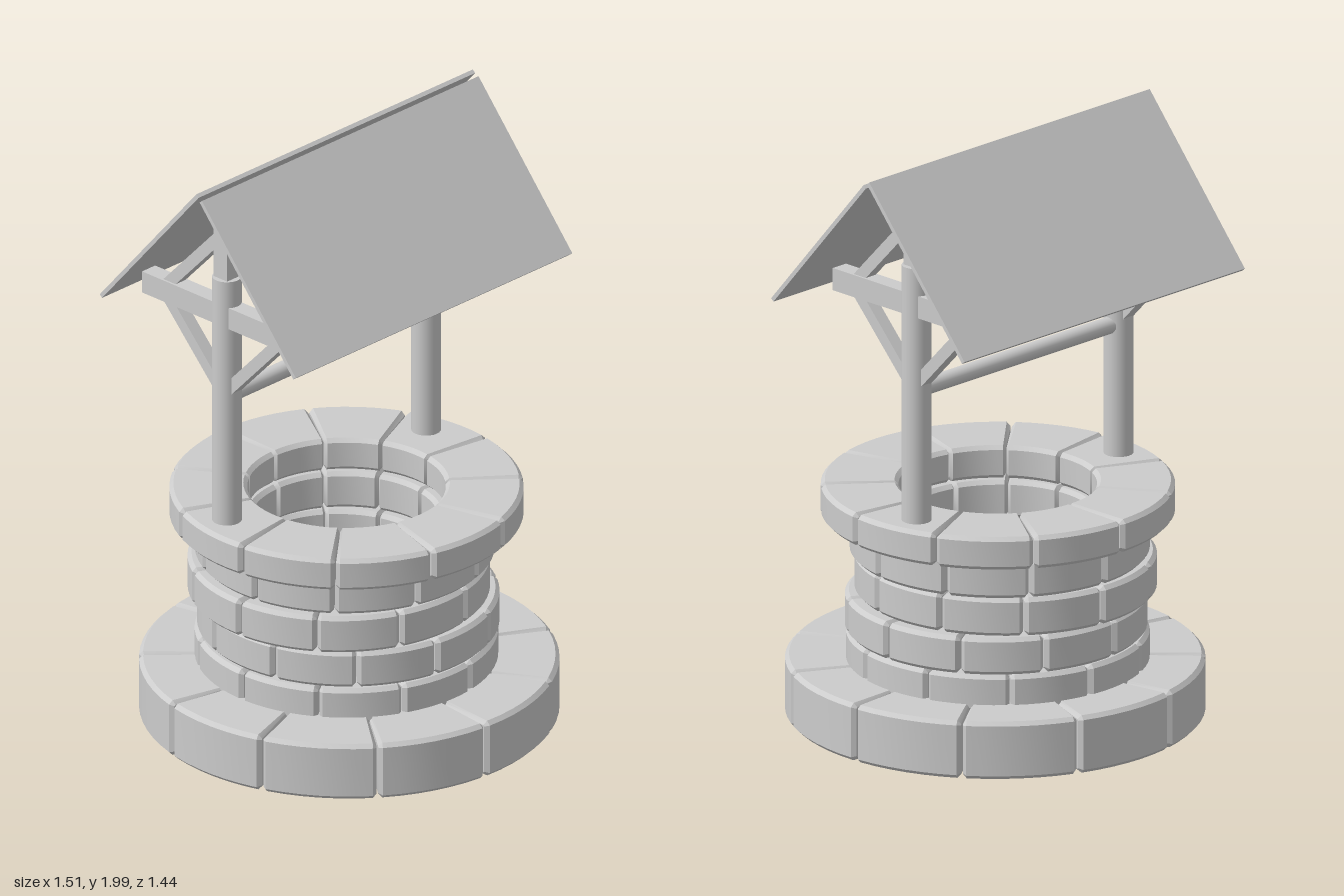
import * as THREE from 'three';
import { toCreasedNormals } from 'three/addons/utils/BufferGeometryUtils.js';

const grey = new THREE.MeshStandardMaterial({ color: 0xcccccc });
grey.name = 'plain grey';

function addMesh(parent, name, geometry, x = 0, y = 0, z = 0) {
  const mesh = new THREE.Mesh(geometry, grey);
  mesh.name = name;
  mesh.position.set(x, y, z);
  parent.add(mesh);
  return mesh;
}

// Chamfered rectangle in (radius, height), counter-clockwise
function section(r0, r1, y0, y1, inset, cut) {
  const a = r0 + inset, b = r1 - inset, c = y0 + inset, d = y1 - inset;
  return [[a + cut, c], [b - cut, c], [b, c + cut], [b, d - cut],
    [b - cut, d], [a + cut, d], [a, d - cut], [a, c + cut]];
}

// Curved stone block with bevelled edges, swept from angle a0 to a1
function stoneGeometry(r0, r1, y0, y1, a0, a1) {
  const bevel = 0.013, turn = bevel / r1, steps = 6;
  const full = section(r0, r1, y0, y1, 0, bevel);
  const end = section(r0, r1, y0, y1, bevel, bevel * 0.3);
  const loops = [[end, a0]];
  for (let i = 0; i <= steps; i++) {
    loops.push([full, a0 + turn + (a1 - a0 - 2 * turn) * i / steps]);
  }
  loops.push([end, a1]);

  const positions = [], index = [], n = full.length;
  for (const [points, angle] of loops) {
    for (const [r, y] of points) positions.push(r * Math.cos(angle), y, r * Math.sin(angle));
  }
  const last = (loops.length - 1) * n;
  for (let j = 0; j < last; j += n) {
    for (let i = 0; i < n; i++) {
      const k = (i + 1) % n;
      index.push(j + i, j + k, j + n + k, j + i, j + n + k, j + n + i);
    }
  }
  for (let i = 1; i < n - 1; i++) {
    index.push(0, i + 1, i, last, last + i, last + i + 1);
  }
  const geometry = new THREE.BufferGeometry();
  geometry.setAttribute('position', new THREE.Float32BufferAttribute(positions, 3));
  geometry.setIndex(index);
  return toCreasedNormals(geometry, Math.PI / 6);
}

// Ring of eleven stones; offset is the angle of one seam in degrees
function addRing(parent, name, { x, z, r0, r1, y0, y1, offset }) {
  const ring = new THREE.Group();
  ring.name = name;
  ring.position.set(x, 0, z);
  const count = 11, step = Math.PI * 2 / count, gap = 0.004;
  for (let i = 0; i < count; i++) {
    const a = THREE.MathUtils.degToRad(offset) + i * step;
    addMesh(ring, 'stone', stoneGeometry(r0, r1, y0, y1, a + gap, a + step - gap));
  }
  parent.add(ring);
}

// Square timber between two (y, z) points
function addBrace(parent, y0, z0, y1, z1) {
  const length = Math.hypot(y1 - y0, z1 - z0);
  const brace = addMesh(parent, 'brace', new THREE.BoxGeometry(0.045, length, 0.04),
    0, (y0 + y1) / 2, (z0 + z1) / 2);
  brace.rotation.x = Math.atan2(z1 - z0, y1 - y0);
}

export function createModel() {
  const well = new THREE.Group();
  well.name = 'well';

  // Stonework, from the ground up, each course slightly shifted
  addRing(well, 'baseRing', { x: -0.019, z: 0.049, r0: 0.315, r1: 0.674, y0: 0, y1: 0.195, offset: 7.6 });
  addRing(well, 'wallCourse1', { x: -0.02, z: 0.03, r0: 0.3, r1: 0.487, y0: 0.17, y1: 0.294, offset: 91.8 });
  addRing(well, 'wallCourse2', { x: -0.013, z: 0.027, r0: 0.3, r1: 0.485, y0: 0.296, y1: 0.422, offset: 77.7 });
  addRing(well, 'wallCourse3', { x: -0.045, z: 0.025, r0: 0.3, r1: 0.485, y0: 0.424, y1: 0.553, offset: 89.4 });
  addRing(well, 'wallCourse4', { x: -0.023, z: 0.022, r0: 0.3, r1: 0.481, y0: 0.555, y1: 0.682, offset: 84.9 });
  addRing(well, 'capRing', { x: -0.018, z: 0.025, r0: 0.318, r1: 0.568, y0: 0.682, y1: 0.793, offset: 84.6 });

  // Timber frame and roof, turned on the wall
  const canopy = new THREE.Group();
  canopy.name = 'canopy';
  canopy.rotation.y = THREE.MathUtils.degToRad(22.2);
  well.add(canopy);
  const ridgeZ = -0.073, middleX = -0.026;

  for (const side of [-1, 1]) {
    const frame = new THREE.Group();
    frame.name = side < 0 ? 'rightFrame' : 'leftFrame';
    frame.position.set(middleX + side * 0.458, 0, ridgeZ);
    canopy.add(frame);
    addMesh(frame, 'post', new THREE.CylinderGeometry(0.048, 0.048, 0.995, 24), 0, 1.1625, 0);
    addMesh(frame, 'kingPost', new THREE.BoxGeometry(0.06, 0.3, 0.06), 0, 1.79, 0);
    addMesh(frame, 'crossBeam', new THREE.BoxGeometry(0.06, 0.075, 0.7), 0, 1.53, 0);
    for (const s of [-1, 1]) {
      addBrace(frame, 1.265, s * 0.02, 1.53, s * 0.27);
      addBrace(frame, 1.795, s * 0.02, 1.53, s * 0.27);
    }
  }

  // Bar between the posts
  const bar = addMesh(canopy, 'windlassBar',
    new THREE.CylinderGeometry(0.028, 0.028, 0.9, 20), middleX, 1.235, ridgeZ);
  bar.rotation.z = Math.PI / 2;

  // Two thin roof panels, the back one rising a little above the front one
  const slope = Math.atan2(0.51, 0.437), thickness = 0.014;
  for (const side of [-1, 1]) {
    const topY = side < 0 ? 1.992 : 1.976, topZ = side < 0 ? -0.004 : 0.014;
    const eaveY = 1.486, eaveZ = side * 0.431;
    const length = Math.hypot(topY - eaveY, eaveZ - topZ);
    const panel = addMesh(canopy, side < 0 ? 'backRoofPanel' : 'frontRoofPanel',
      new THREE.BoxGeometry(1.272, thickness, length),
      0.018, (topY + eaveY) / 2, ridgeZ + (topZ + eaveZ) / 2);
    panel.rotation.x = side * slope;
  }
  return well;
}
